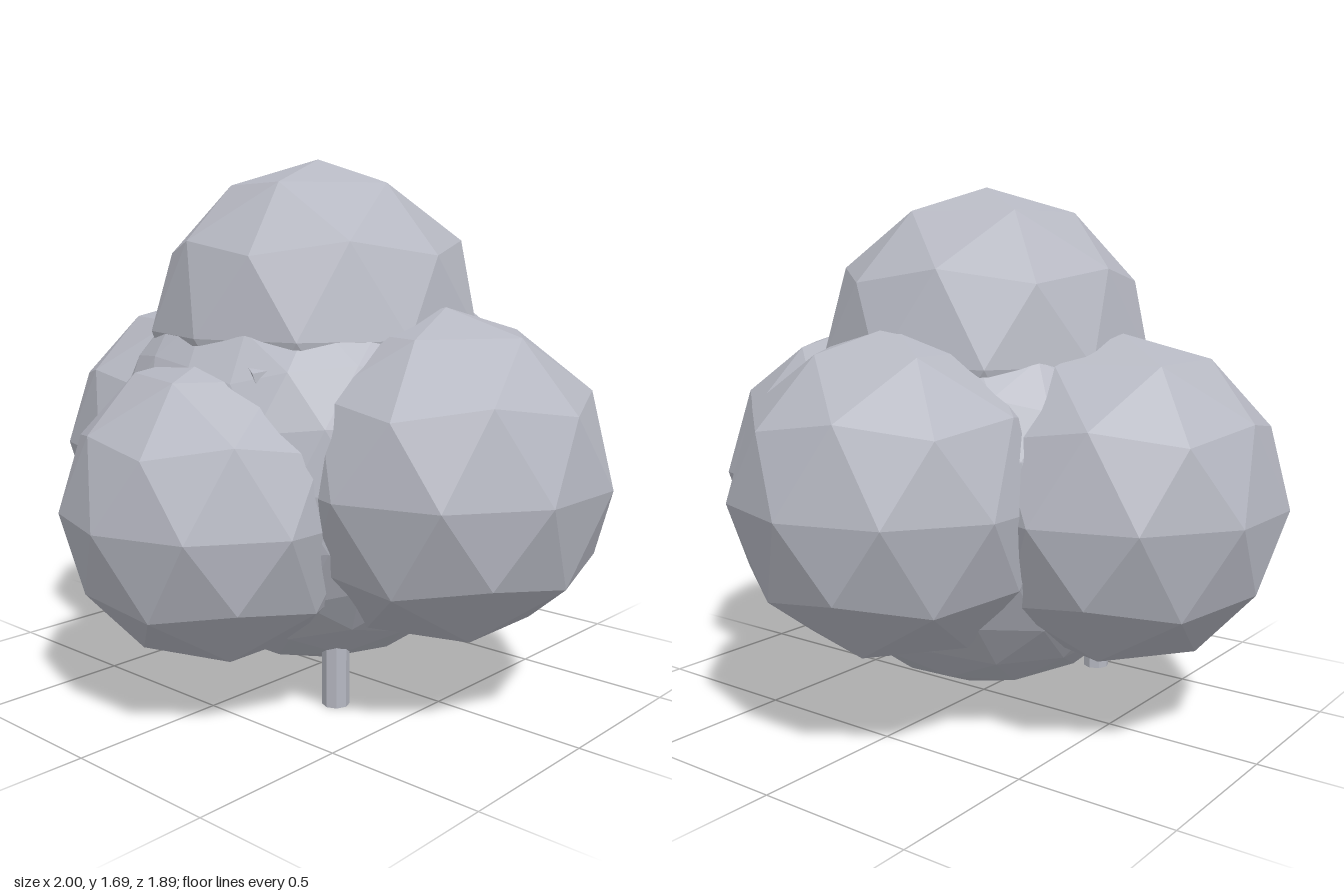
import * as THREE from 'three';
import { ConvexGeometry } from 'three/addons/geometries/ConvexGeometry.js';

const paleGrey = new THREE.MeshStandardMaterial({ color: 0xb6b8c2, flatShading: true });
paleGrey.name = 'paleGrey';

// Faceted ball with a vertex at the pole and an upper-ring vertex towards +x
function ball(radius, detail) {
  const g = new THREE.IcosahedronGeometry(radius, detail);
  g.rotateX(-Math.atan2((1 + Math.sqrt(5)) / 2, 1));
  g.rotateY(Math.PI / 2);
  return g;
}

export function createModel() {
  const group = new THREE.Group();
  const add = (name, geometry, x = 0, y = 0, z = 0) => {
    const mesh = new THREE.Mesh(geometry, paleGrey);
    mesh.name = name;
    mesh.position.set(x, y, z);
    group.add(mesh);
  };

  // Finer round core
  add('core', ball(0.67, 3), 0, 0.735, 0.015);

  // Coarser puffs around the core: name, radius, centre
  const puffs = [
    ['topPuff', 0.54, 0, 1.15, 0.015],
    ['leftPuff', 0.51, 0.515, 0.73, 0.015],
    ['rightPuff', 0.51, -0.515, 0.73, 0.015],
    ['frontPuff', 0.478, 0, 0.633, 0.466],
    ['backPuff', 0.51, 0, 0.759, -0.44],
  ];
  for (const [name, r, x, y, z] of puffs) add(name, ball(r, 1), x, y, z);

  // Short legs, one a little higher than the other
  for (const [name, x, foot, z] of [['leftLeg', 0.27, 0, 0.228], ['rightLeg', -0.27, 0.065, 0.293]]) {
    add(name, new THREE.CylinderGeometry(0.043, 0.043, 0.36, 8), x, foot + 0.18, z);
  }

  // Small pointed chip peeking out under the top puff
  add('chip', new ConvexGeometry([
    new THREE.Vector3(0.176, 1.095, 0.52),
    new THREE.Vector3(0.305, 1.085, 0.46),
    new THREE.Vector3(0.257, 1.02, 0.545),
    new THREE.Vector3(0.246, 1.067, 0.555),
    new THREE.Vector3(0.21, 1.03, 0.42),
  ]));
  return group;
}
